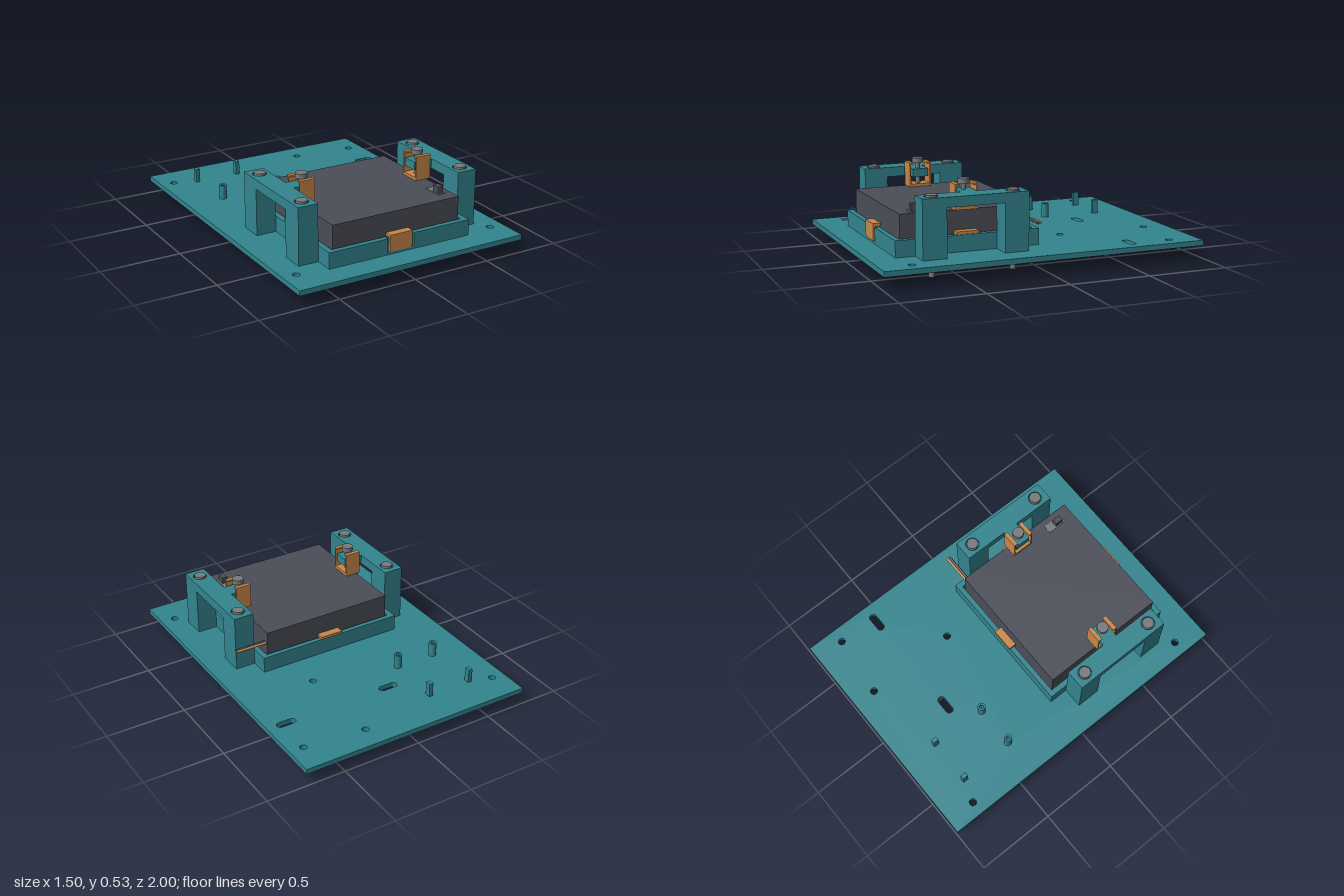
import * as THREE from 'three';

const mat = (name, color) => {
  const m = new THREE.MeshStandardMaterial({ color });
  m.name = name;
  return m;
};

export function createModel() {
  const root = new THREE.Group();
  root.name = 'mountingFixture';
  const teal = mat('teal', 0x33858f);
  const orange = mat('orange', 0xc98849);
  const dark = mat('charcoal', 0x4b4e58);
  const grey = mat('grey', 0x787a7c);

  const add = (name, geometry, material, parent = root) => {
    const m = new THREE.Mesh(geometry, material);
    m.name = name;
    parent.add(m);
    return m;
  };
  // Box given by its extents
  const box = (name, material, x0, x1, y0, y1, z0, z1, parent) =>
    add(name, new THREE.BoxGeometry(x1 - x0, y1 - y0, z1 - z0)
      .translate((x0 + x1) / 2, (y0 + y1) / 2, (z0 + z1) / 2), material, parent);
  // Upright cylinder between two heights
  const rod = (name, material, x, z, r, y0, y1, sides = 24, parent = root) =>
    add(name, new THREE.CylinderGeometry(r, r, y1 - y0, sides).translate(x, (y0 + y1) / 2, z), material, parent);
  // Shapes drawn in the x/z plane
  const poly = (pts) => new THREE.Shape(pts.map(([x, z]) => new THREE.Vector2(x, z)));
  const rect = (x0, x1, z0, z1) => poly([[x0, z0], [x1, z0], [x1, z1], [x0, z1]]);
  const circle = (x, z, r) => new THREE.Shape().absarc(x, z, r, 0, Math.PI * 2, false);
  const slot = (x, z, half, r) => new THREE.Shape()
    .absarc(x + half - r, z, r, -Math.PI / 2, Math.PI / 2, false)
    .absarc(x - half + r, z, r, Math.PI / 2, Math.PI * 1.5, false);
  // Horizontal slab with holes
  const slab = (name, material, shape, holes, y0, y1, parent) => {
    shape.holes.push(...holes);
    const g = new THREE.ExtrudeGeometry(shape, { depth: y1 - y0, bevelEnabled: false, curveSegments: 16 });
    return add(name, g.rotateX(Math.PI / 2).translate(0, y1, 0), material, parent);
  };

  // Base plate with mounting holes and slots
  const standoffs = [[-0.507, -0.415], [-0.25, -0.415]];
  const holes = [[-0.665, -0.815], [0.66, -0.815], [0.272, -0.855], [0.272, -0.278], [-0.665, 0.81], [0.66, 0.81]]
    .map(([x, z]) => circle(x, z, 0.022));
  holes.push(slot(-0.078, -0.565, 0.062, 0.023), slot(0.625, -0.565, 0.062, 0.023));
  holes.push(...standoffs.map(([x, z]) => circle(x, z, 0.012)));
  slab('basePlate', teal, rect(-0.75, 0.75, -1, 1), holes, 0.08, 0.112);

  // Hollow standoffs and square pegs
  for (const [x, z] of standoffs) slab('standoff', teal, circle(x, z, 0.024), [circle(x, z, 0.012)], 0.112, 0.2);
  for (const x of [-0.522, -0.236]) box('peg', teal, x - 0.013, x + 0.013, 0.112, 0.2, -0.783, -0.747);

  // Tray with a notch in its front wall
  box('trayFloor', teal, -0.475, 0.475, 0.112, 0.128, -0.045, 0.845);
  slab('trayWall', teal, poly([[-0.475, -0.045], [0.475, -0.045], [0.475, 0.845], [0.09, 0.845], [0.09, 0.825],
    [-0.09, 0.825], [-0.09, 0.845], [-0.475, 0.845]]), [rect(-0.44, 0.44, -0.015, 0.812)], 0.128, 0.212);
  box('notchLiner', grey, -0.088, 0.088, 0.128, 0.176, 0.825, 0.832);

  // Device block, switch and leads
  box('deviceBlock', dark, -0.428, 0.426, 0.128, 0.352, -0.003, 0.802);
  box('switchPlate', grey, 0.333, 0.387, 0.352, 0.356, 0.605, 0.726);
  box('switchLever', dark, 0.34, 0.376, 0.356, 0.396, 0.663, 0.715);
  [[0.014, orange], [0.029, dark]].forEach(([z, m]) => {
    add('lead', new THREE.CylinderGeometry(0.008, 0.008, 0.21, 12).rotateZ(Math.PI / 2)
      .translate(0.522, 0.277, z), m);
  });

  // Contact strips on the tray rim
  box('frontContactTop', orange, -0.075, 0.075, 0.214, 0.232, 0.8, 0.85);
  box('frontContactFace', orange, -0.075, 0.075, 0.128, 0.222, 0.835, 0.85);
  box('backContact', orange, -0.075, 0.07, 0.214, 0.232, -0.052, 0.003);

  for (const s of [-1, 1]) {
    const side = new THREE.Group();
    side.name = s > 0 ? 'leftClampSide' : 'rightClampSide';
    root.add(side);
    const sbox = (name, m, x0, x1, ...r) => box(name, m, Math.min(s * x0, s * x1), Math.max(s * x0, s * x1), ...r, side);

    sbox('sideContact', orange, 0.425, 0.476, 0.214, 0.232, 0.333, 0.473);

    // Bridge bracket: two legs, beam, bored cap and inward arm
    sbox('bridgeLeg', teal, 0.475, 0.602, 0.112, 0.405, 0.075, 0.225);
    sbox('bridgeLeg', teal, 0.475, 0.602, 0.112, 0.405, 0.578, 0.725);
    sbox('bridgeBeam', teal, 0.475, 0.602, 0.405, 0.445, 0.075, 0.725);
    const bolts = [0.15, 0.65];
    slab('bridgeCap', teal, rect(s > 0 ? 0.475 : -0.602, s > 0 ? 0.602 : -0.475, 0.075, 0.725),
      bolts.map((z) => circle(s * 0.538, z, 0.042)), 0.445, 0.465, side);
    sbox('bridgeArm', teal, 0.352, 0.475, 0.415, 0.465, 0.35, 0.45);

    // Through bolts with nuts beneath the plate
    for (const z of bolts) {
      rod('boltHead', grey, s * 0.538, z, 0.035, 0.445, 0.475, 24, side);
      rod('boltShank', grey, s * 0.538, z, 0.018, 0, 0.09, 20, side);
      rod('boltNut', grey, s * 0.538, z, 0.04, 0.048, 0.08, 6, side);
    }

    // Clamp channel wrapped around the arm, with its screw
    sbox('clampFoot', orange, 0.35, 0.45, 0.353, 0.371, 0.332, 0.472);
    for (const d of [-1, 1]) {
      const z = (a, b) => [0.402 + d * a, 0.402 + d * b].sort((p, q) => p - q);
      sbox('clampWall', orange, 0.35, 0.45, 0.353, 0.505, ...z(0.061, 0.07));
      sbox('clampLip', orange, 0.35, 0.45, 0.494, 0.505, ...z(0.044, 0.063));
    }
    rod('clampScrewShank', grey, s * 0.4, 0.402, 0.015, 0.365, 0.505, 20, side);
    rod('clampScrewHead', grey, s * 0.4, 0.402, 0.035, 0.5, 0.53, 24, side);
  }
  return root;
}
